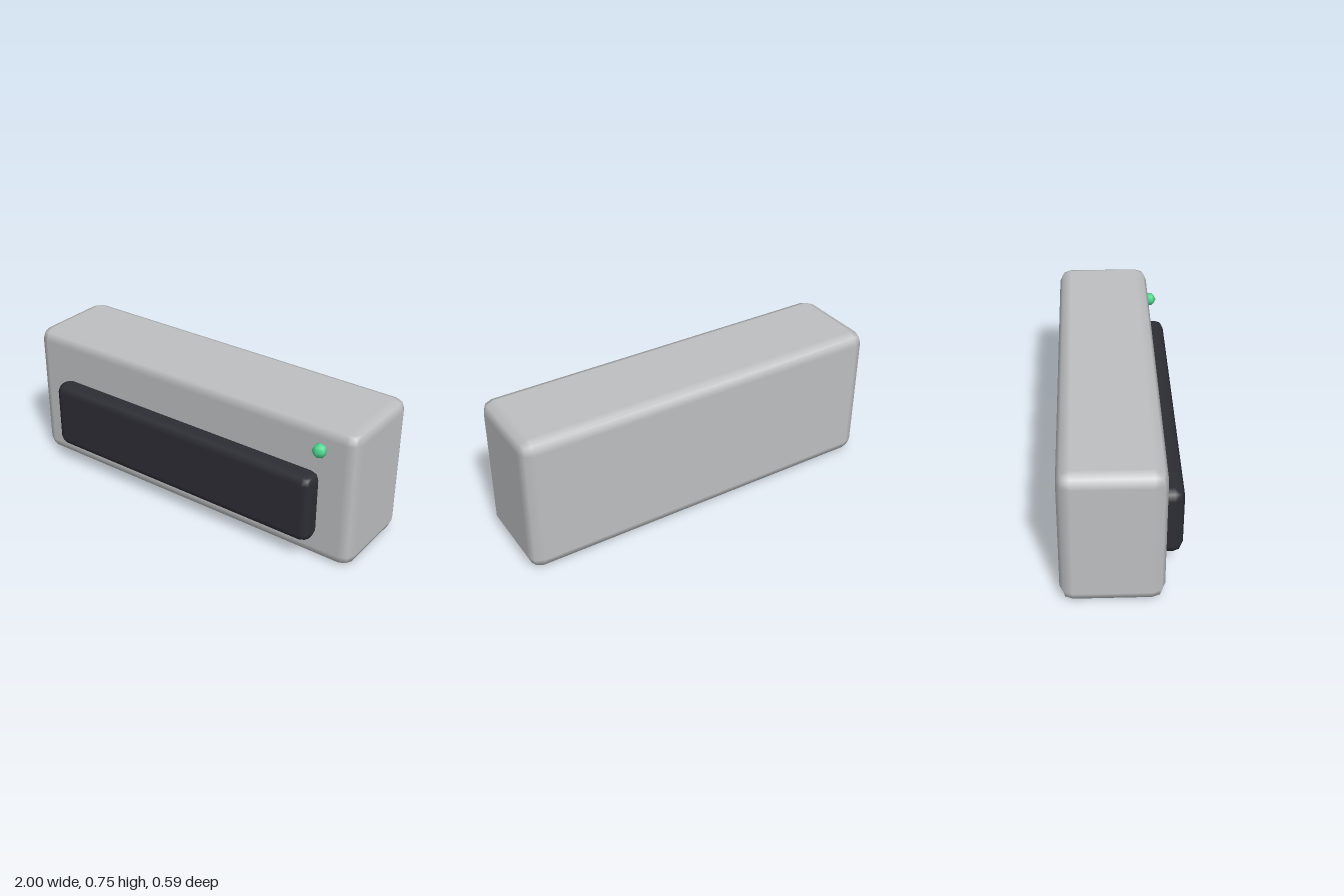
import * as THREE from 'three';
import { RoundedBoxGeometry } from 'three/addons/geometries/RoundedBoxGeometry.js';

const material = (name, color) => {
  const m = new THREE.MeshStandardMaterial({ color });
  m.name = name;
  return m;
};

export function createModel() {
  const group = new THREE.Group();
  group.name = 'wallUnit';

  const add = (name, geometry, mat, x, y, z) => {
    const mesh = new THREE.Mesh(geometry, mat);
    mesh.name = name;
    mesh.position.set(x, y, z);
    group.add(mesh);
    return mesh;
  };

  // Housing with softly bevelled edges
  add('housing', new RoundedBoxGeometry(2, 0.75, 0.5, 1, 0.0635),
    material('light grey', 0xbebfc1), 0, 0.375, -0.047);

  // Raised dark panel, sunk partly into the housing
  add('frontPanel', new RoundedBoxGeometry(1.625, 0.375, 0.125, 1, 0.048),
    material('charcoal', 0x2d2d35), 0, 0.3135, 0.2345);

  // Small round status light
  const light = add('statusLight', new THREE.SphereGeometry(0.0375, 6, 4),
    material('green', 0x4dd790), 0.81, 0.626, 0.2155);
  light.rotation.y = Math.PI / 2;

  return group;
}
